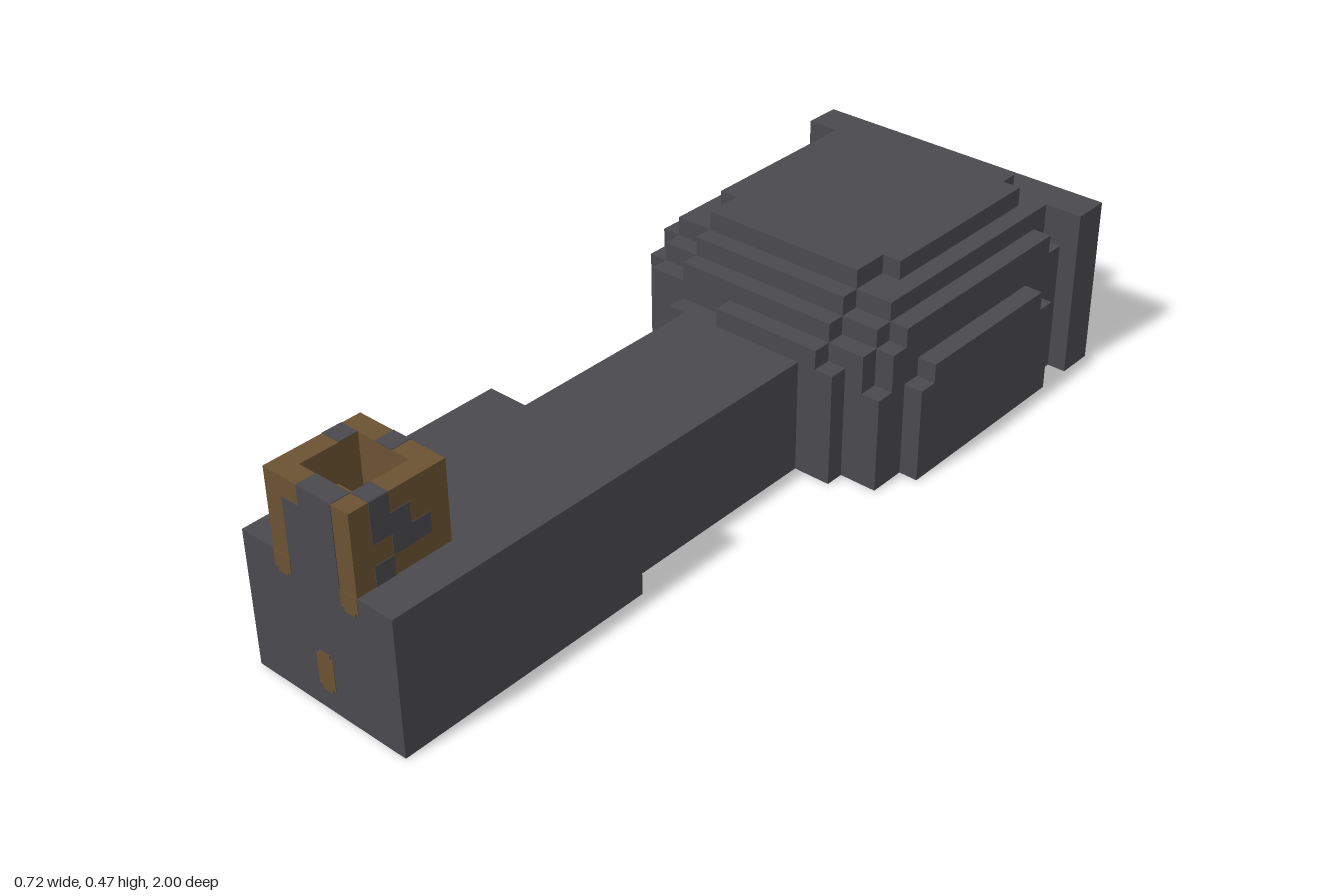
import * as THREE from 'three';

const U = 2 / 47; // one voxel

export function createModel() {
  const model = new THREE.Group();
  const grey = new THREE.MeshStandardMaterial({ color: 0x4a494d });
  grey.name = 'darkGrey';
  const brown = new THREE.MeshStandardMaterial({ color: 0x6b5232 });
  brown.name = 'brown';

  // Box from voxel limits
  function block(name, mat, x0, x1, y0, y1, z0, z1, parent = model) {
    const geo = new THREE.BoxGeometry((x1 - x0) * U, (y1 - y0) * U, (z1 - z0) * U);
    const mesh = new THREE.Mesh(geo, mat);
    mesh.position.set((x0 + x1) * U / 2, (y0 + y1) * U / 2, (z0 + z1) * U / 2);
    mesh.name = name;
    parent.add(mesh);
    return mesh;
  }

  // Base bodies along the length
  block('backBlock', grey, -4.5, 4.5, 0, 7, -23.5, -20.5);
  block('backPlate', grey, -8.5, 8.5, 0, 9, -20.5, -18.5);
  block('neck', grey, -3.5, 3.5, 0, 6, -2.5, 9.5);
  block('frontBlock', grey, -4.5, 4.5, 0, 7, 9.5, 23.5);

  // Stepped dome: x0, x1, z0, z1, height
  const dome = new THREE.Group();
  dome.name = 'steppedDome';
  model.add(dome);
  [
    [-8.5, 0, -15.5, -6.5, 4],
    [-8.5, 0, -15.5, -7.5, 6],
    [0, 8.5, -16.5, -5.5, 5],
    [0, 8.5, -15.5, -6.5, 6],
    [-7.5, 7.5, -18.5, -4.5, 7],
    [-7.5, 7.5, -17.5, -5.5, 8],
    [-6.5, 7.5, -18.5, -3.5, 5],
    [-6.5, 6.5, -18.5, -3.5, 7],
    [-6.5, 6.5, -18.5, -4.5, 8],
    [-4.5, 4.5, -18.5, -3.5, 8],
    [-6.5, 6.5, -18.5, -5.5, 9],
    [-4.5, 4.5, -18.5, -4.5, 9],
    [-4.5, 5.5, -18.5, -2.5, 6],
    [-1.5, 4.5, -18.5, -2.5, 7],
    [-4.5, 4.5, -18.5, -5.5, 10],
    [-5.5, 5.5, -17.5, -7.5, 10],
  ].forEach(([x0, x1, z0, z1, h]) => block('domeStep', grey, x0, x1, 0, h, z0, z1, dome));

  // Hollow post with a small pin inside
  const post = new THREE.Group();
  post.name = 'post';
  model.add(post);
  block('postFrontWall', brown, -2.5, 2.5, 7, 11, 22.5, 23.5, post);
  block('postBackWall', brown, -2.5, 2.5, 7, 11, 18.5, 19.5, post);
  for (const s of [-2, 2]) block('postSideWall', brown, s - 0.5, s + 0.5, 7, 11, 19.5, 22.5, post);
  block('postFloor', brown, -1.5, 1.5, 7, 7.1, 19.5, 22.5, post);
  block('postPin', brown, -0.5, 0.5, 7, 10, 21.5, 22.5, post);

  // Thin painted patches on each face
  const t = 0.06;
  const paintX = (x, mat, z0, z1, y0, y1) => block('sidePatch', mat, x - t / 2, x + t / 2, y0, y1, z0, z1);
  const paintY = (y, mat, x0, x1, z0, z1) => block('topPatch', mat, x0, x1, y - t / 2, y + t / 2, z0, z1);
  const paintZ = (z, mat, x0, x1, y0, y1) => block('endPatch', mat, x0, x1, y0, y1, z - t / 2, z + t / 2);

  // Front: grey centre, brown runs and spot
  paintZ(23.5, grey, -1.5, 1.5, 7, 10);
  paintZ(23.5, grey, -0.5, 1.5, 10, 11);
  for (const s of [-2, 2]) {
    paintZ(23.5, brown, s - 0.5, s + 0.5, 6.2, 7);
    paintZ(23.5, brown, s - 0.3, s + 0.3, 6, 6.2);
  }
  paintZ(23.5, brown, -0.5, 0.5, 1.2, 2.8);
  paintZ(23.5, brown, -0.3, 0.3, 1, 3);

  // Left side: zigzag of grey cells
  paintX(2.5, grey, 21.5, 22.5, 9, 11);
  paintX(2.5, grey, 20.5, 21.5, 8, 10);
  paintX(2.5, grey, 19.5, 20.5, 8, 9);
  paintX(2.5, grey, 21.5, 22.5, 7, 8);
  // Right side: one vertical band
  paintX(-2.5, grey, 19.5, 20.5, 7, 11);
  // Back
  paintZ(18.5, grey, -0.5, 0.5, 9, 11);
  paintZ(18.5, grey, 0.5, 1.5, 9, 10);
  paintZ(18.5, grey, 0.5, 1.5, 7, 8);
  // Rim
  paintY(11, grey, -0.5, 0.5, 18.5, 19.5);
  paintY(11, grey, -2.5, -1.5, 19.5, 20.5);
  paintY(11, grey, 1.5, 2.5, 21.5, 22.5);
  paintY(11, grey, -0.5, 1.5, 22.5, 23.5);

  // Rounded brown spot underneath
  const spot = new THREE.Shape([
    [-2.5, -1.6], [-1.6, -2.5], [1.6, -2.5], [2.5, -1.6],
    [2.5, 1.6], [1.6, 2.5], [-1.6, 2.5], [-2.5, 1.6],
  ].map(([x, y]) => new THREE.Vector2(x * U, y * U)));
  const under = new THREE.Mesh(new THREE.ShapeGeometry(spot), brown);
  under.name = 'undersideSpot';
  under.rotation.x = Math.PI / 2;
  under.position.set(0, -0.001, 20.4 * U);
  model.add(under);

  return model;
}
